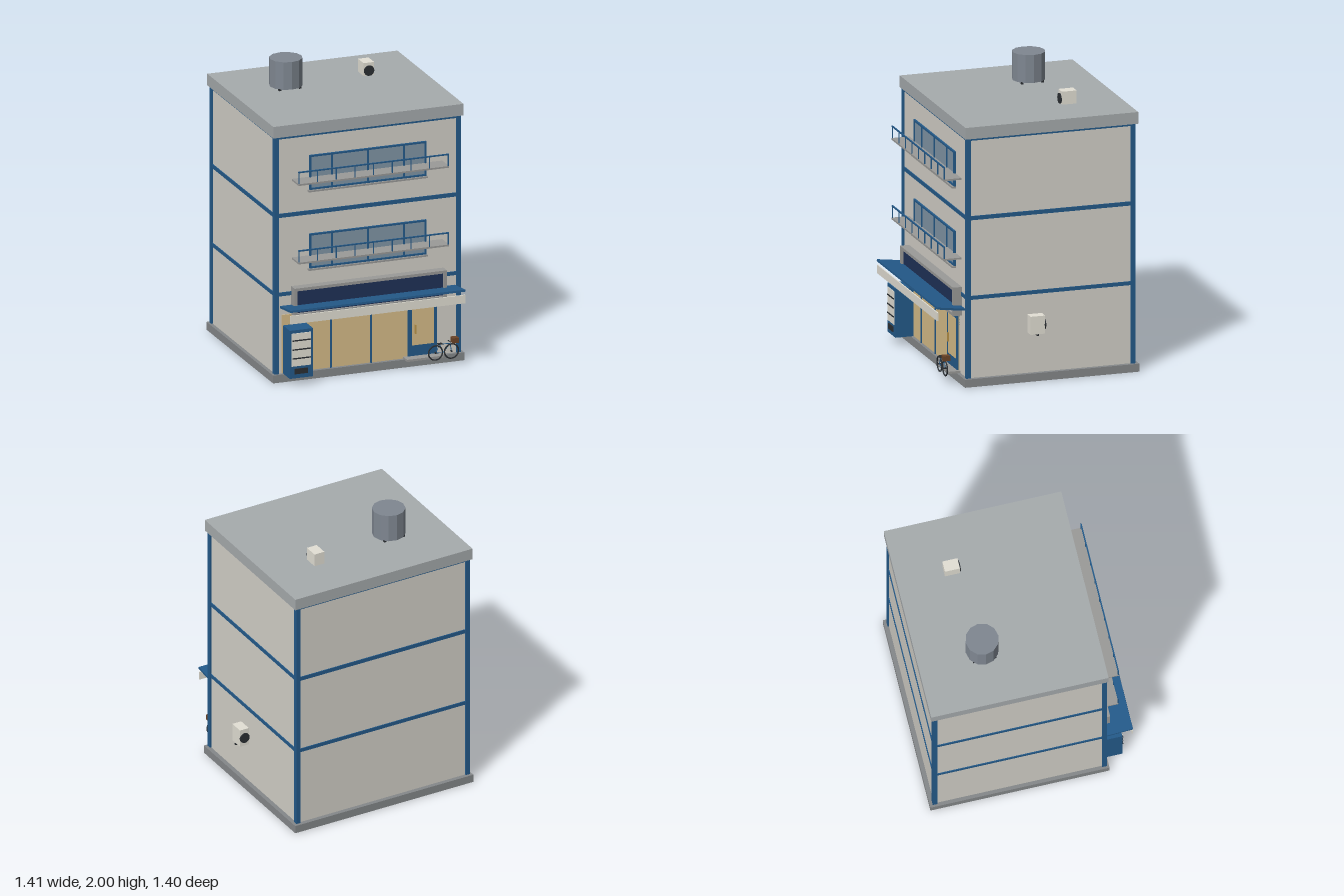
import * as THREE from 'three';

const mat = (color) => new THREE.MeshStandardMaterial({ color, flatShading: true });
const M = {
  wall: mat(0xd3d0c8), blue: mat(0x245a8a), base: mat(0x85888a), roof: mat(0xa6abad),
  tank: mat(0x7f8791), glass: mat(0x8195a6), navy: mat(0x1f3158), shop: mat(0xd6bc88),
  dark: mat(0x2b2f33), cream: mat(0xe2dfd4), grey: mat(0x9a9a98), brown: mat(0x6b4428), brass: mat(0xb8934a),
};

// Box given by its minimum and maximum on each axis
function box(parent, name, m, x0, x1, y0, y1, z0, z1) {
  const mesh = new THREE.Mesh(new THREE.BoxGeometry(x1 - x0, y1 - y0, z1 - z0), m);
  mesh.position.set((x0 + x1) / 2, (y0 + y1) / 2, (z0 + z1) / 2);
  mesh.name = name;
  parent.add(mesh);
  return mesh;
}

// Round bar between two points
function rod(parent, name, m, a, b, r, sides = 8) {
  const p = new THREE.Vector3(...a), d = new THREE.Vector3(...b).sub(p);
  const mesh = new THREE.Mesh(new THREE.CylinderGeometry(r, r, d.length(), sides), m);
  mesh.position.copy(p).addScaledVector(d, 0.5);
  mesh.quaternion.setFromUnitVectors(new THREE.Vector3(0, 1, 0), d.normalize());
  mesh.name = name;
  parent.add(mesh);
  return mesh;
}

function group(parent, name) {
  const g = new THREE.Group();
  g.name = name;
  parent.add(g);
  return g;
}

// Rectangular border made of four bars
function frame(parent, name, m, x0, x1, y0, y1, z0, z1, t) {
  box(parent, name, m, x0, x0 + t, y0, y1, z0, z1);
  box(parent, name, m, x1 - t, x1, y0, y1, z0, z1);
  box(parent, name, m, x0 + t, x1 - t, y0, y0 + t, z0, z1);
  box(parent, name, m, x0 + t, x1 - t, y1 - t, y1, z0, z1);
}

function buildShell(root) {
  const g = group(root, 'shell');
  box(g, 'base', M.base, -0.705, 0.66, 0, 0.055, -0.7, 0.525);
  box(g, 'walls', M.wall, -0.68, 0.63, 0.055, 1.715, -0.67, 0.5);
  for (const x of [-0.69, 0.609])
    for (const z of [-0.68, 0.478]) box(g, 'cornerColumn', M.blue, x, x + 0.031, 0.055, 1.715, z, z + 0.032);
  for (const [y0, y1] of [[0.597, 0.623], [1.147, 1.175], [1.697, 1.714]])
    box(g, 'floorBand', M.blue, -0.686, 0.636, y0, y1, -0.676, 0.506);
  box(g, 'roofSlab', M.roof, -0.702, 0.656, 1.714, 1.795, -0.694, 0.52);
}

// Window strip with sill and balcony; y is the underside of the glazing
function buildStorey(root, y) {
  const g = group(root, 'windowStorey');
  box(g, 'windowGlass', M.glass, -0.435, 0.39, y, y + 0.24, 0.495, 0.505);
  frame(g, 'windowFrame', M.blue, -0.44, 0.395, y, y + 0.242, 0.498, 0.514, 0.012);
  for (const x of [-0.28, -0.023, 0.236]) box(g, 'mullion', M.blue, x - 0.005, x + 0.005, y, y + 0.24, 0.498, 0.513);
  box(g, 'windowSill', M.grey, -0.45, 0.4, y - 0.012, y, 0.498, 0.527);
  box(g, 'balconySlab', M.grey, -0.562, 0.512, y + 0.077, y + 0.089, 0.498, 0.625);
  box(g, 'balconyRail', M.blue, -0.562, 0.512, y + 0.165, y + 0.174, 0.615, 0.624);
  for (let i = 0; i < 9; i++) {
    const x = -0.558 + i * 0.1332;
    box(g, 'balconyPost', M.blue, x - 0.003, x + 0.003, y + 0.089, y + 0.17, 0.617, 0.623);
  }
}

function buildShopfront(root) {
  const g = group(root, 'shopfront');
  box(g, 'shopWindow', M.shop, -0.635, 0.468, 0.057, 0.465, 0.49, 0.506);
  for (const x of [-0.52, -0.287, 0]) box(g, 'shopMullion', M.blue, x - 0.006, x + 0.006, 0.057, 0.465, 0.5, 0.514);

  // Door
  const d = group(g, 'door');
  box(d, 'doorPanel', M.blue, 0.26, 0.468, 0.07, 0.445, 0.498, 0.515);
  box(d, 'doorGlass', M.shop, 0.289, 0.445, 0.145, 0.42, 0.5, 0.519);
  box(d, 'doorHandle', M.brass, 0.307, 0.314, 0.228, 0.29, 0.517, 0.533);
  box(d, 'doorStep', M.grey, 0.23, 0.49, 0.055, 0.07, 0.498, 0.58);

  // Blank sign with deep border
  const s = group(g, 'signBoard');
  box(s, 'signPanel', M.navy, -0.55, 0.505, 0.475, 0.645, 0.498, 0.545);
  frame(s, 'signFrame', M.grey, -0.567, 0.52, 0.46, 0.658, 0.498, 0.563, 0.02);

  // Sloping awning and hanging valance
  const a = box(g, 'awning', M.blue, -0.65, 0.6, -0.007, 0.007, -0.098, 0.098);
  a.position.set(-0.025, 0.535, 0.602);
  a.rotation.x = -0.13;
  box(g, 'valance', M.cream, -0.648, 0.598, 0.46, 0.518, 0.691, 0.7);
}

function buildVendingMachine(root) {
  const g = group(root, 'vendingMachine');
  box(g, 'cabinet', M.blue, -0.628, -0.462, 0.055, 0.392, 0.505, 0.632);
  box(g, 'displayPanel', M.cream, -0.615, -0.477, 0.14, 0.37, 0.625, 0.637);
  for (const y of [0.195, 0.257, 0.32]) box(g, 'displayShelf', M.dark, -0.61, -0.482, y - 0.004, y + 0.004, 0.63, 0.642);
  box(g, 'deliverySlot', M.dark, -0.595, -0.5, 0.085, 0.122, 0.625, 0.638);
}

function buildBicycle(root) {
  const g = group(root, 'bicycle');
  const z = 0.622, rear = [0.416, 0.11, z], front = [0.53, 0.11, z];
  for (const hub of [rear, front]) {
    const tyre = new THREE.Mesh(new THREE.TorusGeometry(0.05, 0.005, 8, 24), M.dark);
    tyre.position.set(...hub);
    tyre.name = 'tyre';
    g.add(tyre);
    rod(g, 'hub', M.dark, [hub[0], hub[1], z - 0.008], [hub[0], hub[1], z + 0.008], 0.006);
  }
  const crank = [0.468, 0.105, z], seat = [0.446, 0.167, z], head = [0.52, 0.165, z];
  for (const [a, b] of [[rear, crank], [crank, seat], [seat, head], [crank, head], [rear, seat], [front, head]])
    rod(g, 'bicycleFrame', M.blue, a, b, 0.003);
  rod(g, 'handlebar', M.dark, [0.515, 0.18, z - 0.025], [0.515, 0.18, z + 0.025], 0.003);
  box(g, 'saddle', M.dark, 0.43, 0.462, 0.167, 0.174, z - 0.009, z + 0.009);
  box(g, 'basket', M.brown, 0.53, 0.574, 0.17, 0.205, z - 0.022, z + 0.026);
}

// Cooling unit with a fan on its front (dir 1) or back (dir -1)
function buildCooler(root, x0, x1, y0, y1, z0, z1, dir, cy) {
  const g = group(root, 'coolingUnit');
  box(g, 'coolerCase', M.cream, x0, x1, y0, y1, z0, z1);
  const z = dir > 0 ? z1 : z0, cx = (x0 + x1) / 2;
  rod(g, 'coolerFan', M.dark, [cx, cy, z - dir * 0.004], [cx, cy, z + dir * 0.008], 0.036, 16);
  return g;
}

export function createModel() {
  const root = new THREE.Group();
  root.name = 'shopBuilding';
  buildShell(root);
  for (const y of [0.77, 1.32]) buildStorey(root, y);
  buildShopfront(root);
  buildVendingMachine(root);
  buildBicycle(root);

  // Roof equipment
  buildCooler(root, 0.25, 0.325, 1.795, 1.885, -0.373, -0.27, 1, 1.83);
  rod(root, 'waterTank', M.tank, [-0.312, 1.807, -0.253], [-0.312, 2, -0.253], 0.112, 12);
  for (const sx of [-1, 1])
    for (const sz of [-1, 1])
      box(root, 'tankFoot', M.dark, -0.312 + sx * 0.072 - 0.008, -0.312 + sx * 0.072 + 0.008, 1.79, 1.81,
        -0.253 + sz * 0.072 - 0.008, -0.253 + sz * 0.072 + 0.008);

  // Side wall equipment
  const side = buildCooler(root, 0.628, 0.698, 0.335, 0.46, -0.025, 0.077, -1, 0.395);
  box(side, 'coolerBracket', M.dark, 0.625, 0.706, 0.326, 0.335, 0.02, 0.034);
  return root;
}
